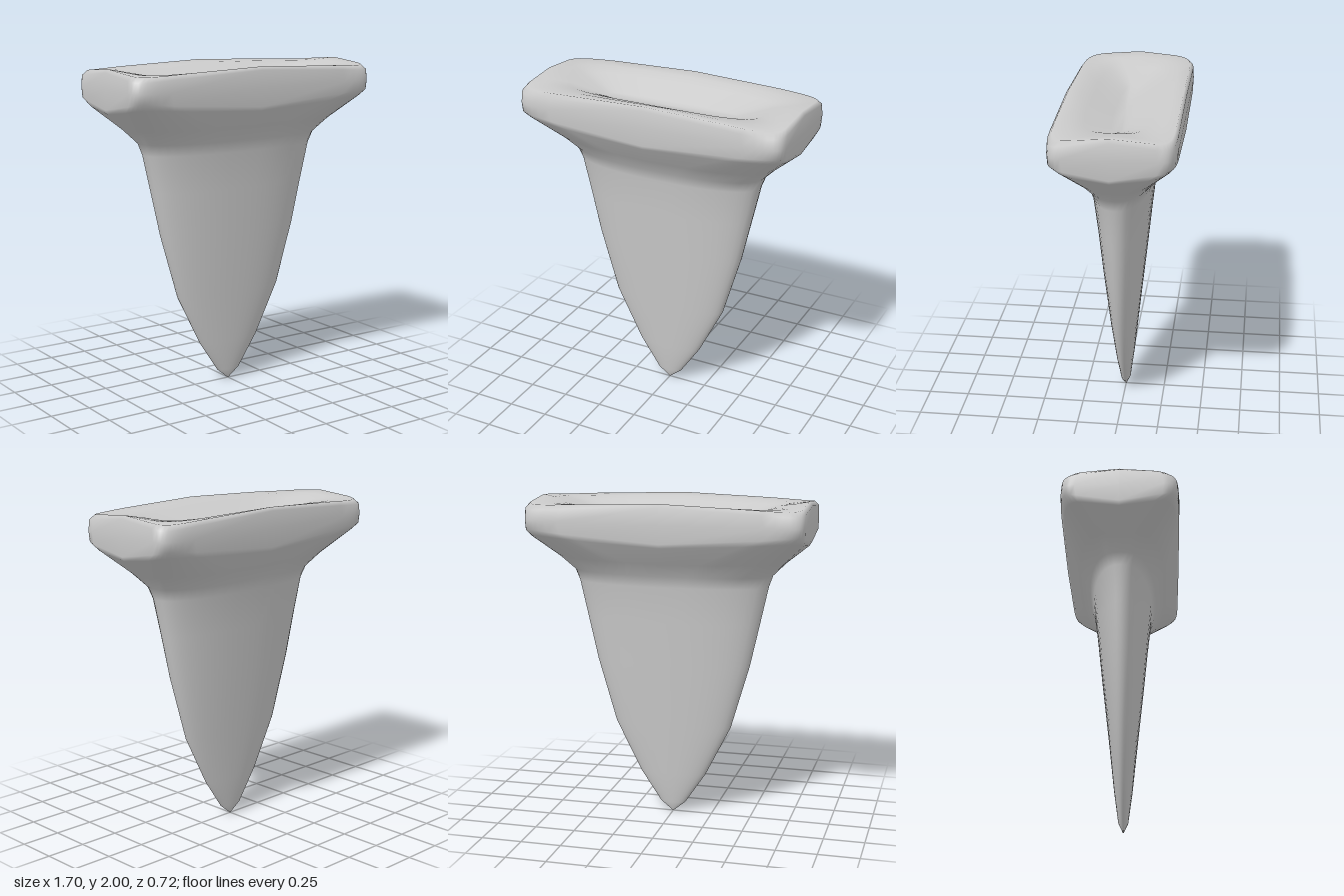
import * as THREE from 'three';

const SEGMENTS = 40;

// Rings from tip to dished top: [y, half width, half depth, squareness, corner pinch]
const RINGS = [
  [0.0, 0.002, 0.002, 2, 0],
  [0.065, 0.08, 0.03, 2, 0],
  [0.26, 0.21, 0.055, 2.1, 0],
  [0.58, 0.37, 0.087, 2.2, 0],
  [0.98, 0.485, 0.13, 2.2, 0],
  [1.25, 0.545, 0.157, 2.2, 0],
  [1.48, 0.595, 0.183, 2.3, 0],
  [1.55, 0.62, 0.205, 2.5, 0],
  [1.63, 0.7, 0.262, 3.2, 0.02],
  [1.74, 0.835, 0.345, 7, 0.06],
  [1.765, 0.85, 0.358, 11, 0.07],
  [1.88, 0.852, 0.36, 12, 0],
  [1.98, 0.85, 0.357, 11, -0.045],
  [2.0, 0.83, 0.34, 9, -0.035],
  [1.985, 0.75, 0.27, 5, -0.02],
  [1.96, 0.63, 0.2, 4, 0],
  [1.895, 0.43, 0.06, 3, 0],
  [1.89, 0.001, 0.001, 2, 0],
];

const power = (v, n) => Math.sign(v) * Math.pow(Math.abs(v), 2 / n);

// Skin a stack of superellipse cross-sections, sharing vertices for smooth normals
function loft(rings) {
  const positions = [];
  const indices = [];
  for (const [y, rx, rz, n, pinch] of rings) {
    for (let j = 0; j < SEGMENTS; j++) {
      const t = (j / SEGMENTS) * Math.PI * 2;
      const x = power(Math.cos(t), n);
      const z = power(Math.sin(t), n);
      const corner = Math.pow(Math.abs(x * z), 1.5);
      positions.push(x * rx, y + pinch * corner, z * rz);
    }
  }
  for (let i = 0; i < rings.length - 1; i++) {
    for (let j = 0; j < SEGMENTS; j++) {
      const k = (j + 1) % SEGMENTS;
      const a = i * SEGMENTS + j;
      const b = i * SEGMENTS + k;
      indices.push(a, a + SEGMENTS, b, b, a + SEGMENTS, b + SEGMENTS);
    }
  }
  const geometry = new THREE.BufferGeometry();
  geometry.setAttribute('position', new THREE.Float32BufferAttribute(positions, 3));
  geometry.setIndex(indices);
  geometry.computeVertexNormals();
  return geometry;
}

export function createModel() {
  const group = new THREE.Group();
  group.name = 'wedgeSpike';

  // Tapered blade flaring into a wide, dished head
  const body = new THREE.Mesh(
    loft(RINGS),
    new THREE.MeshStandardMaterial({ color: 0xcccccc }),
  );
  body.name = 'bladeAndHead';
  group.add(body);
  return group;
}
